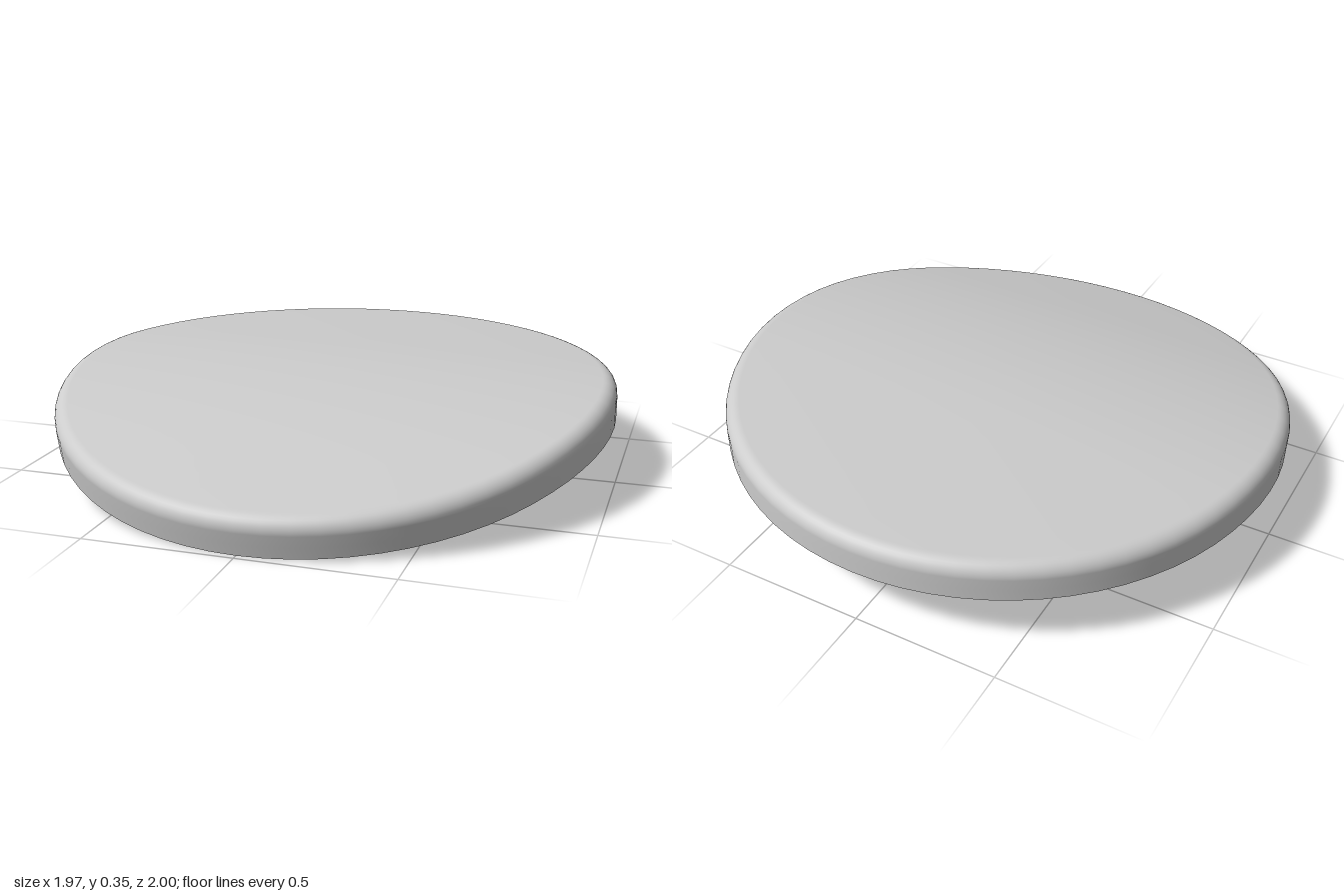
import * as THREE from 'three';
import { mergeVertices } from 'three/addons/utils/BufferGeometryUtils.js';

// Drop and slope of the bend: flat at the back, curving down, then straight at the front
const BEND = 0.27, START = -0.3, RUN = 0.9, BASE = 0.201;
function bendAt(z) {
  const t = Math.max(0, z - START);
  const c = Math.min(t, RUN);
  const slope = BEND * c;
  return { drop: BEND * c * c / 2 + slope * (t - c), slope };
}

// Half section of the shell: wall, rounded edge, gently crowned top
function shellProfile(radius, wall, fillet, crown) {
  const pts = [0, 0.5, 1].map(f => new THREE.Vector2(radius, wall * f));
  for (let i = 1; i <= 8; i++) {
    const a = (i / 8) * Math.PI / 2;
    pts.push(new THREE.Vector2(radius - fillet * (1 - Math.cos(a)), wall + fillet * Math.sin(a)));
  }
  const edge = radius - fillet;
  for (let i = 1; i <= 14; i++) {
    const f = 1 - i / 14;
    pts.push(new THREE.Vector2(edge * f, wall + fillet + crown * (1 - f * f)));
  }
  return pts;
}

export function createModel() {
  const group = new THREE.Group();
  group.name = 'bentDisc';

  let geometry = new THREE.LatheGeometry(shellProfile(0.985, 0.08, 0.05, 0.02), 72);
  geometry.deleteAttribute('uv');
  geometry.deleteAttribute('normal');

  // Bend the disc along z, tilting the wall with the slope
  const p = geometry.attributes.position;
  for (let i = 0; i < p.count; i++) {
    const z = p.getZ(i) * 1.005 - 0.01;
    const h = p.getY(i);
    const { drop, slope } = bendAt(z);
    const n = Math.hypot(1, slope);
    p.setXYZ(i, p.getX(i), BASE - drop + h / n, z + h * slope / n);
  }
  geometry = mergeVertices(geometry, 1e-5);
  geometry.computeVertexNormals();

  // Thin shell, open underneath
  const shell = new THREE.Mesh(geometry, new THREE.MeshStandardMaterial({
    color: 0xcccccc, side: THREE.DoubleSide,
  }));
  shell.name = 'seatShell';
  group.add(shell);
  return group;
}
